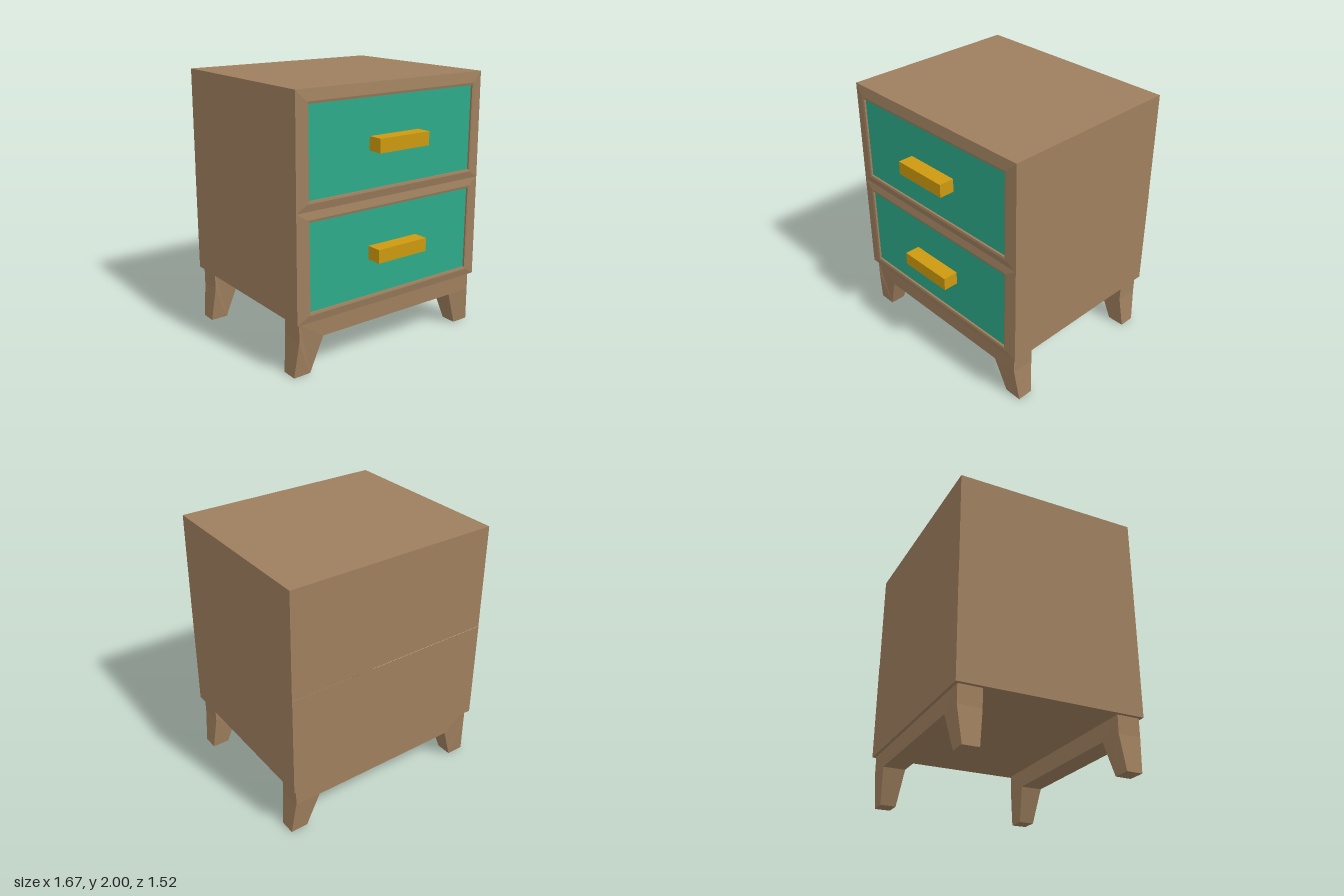
import * as THREE from 'three';

const flat = (color, name) => {
  const m = new THREE.MeshStandardMaterial({ color, flatShading: true });
  m.name = name;
  return m;
};

// Four-cornered loop: half width at bottom and top, heights, depth
const loop = (w0, w1, y0, y1, z) => [[-w0, y0, z], [w0, y0, z], [w1, y1, z], [-w1, y1, z]];

// Skin a row of loops running from back to front, leaving out one hidden side
function loft(loops, hiddenSide) {
  const pos = [];
  const quad = (a, b, c, d) => pos.push(...a, ...b, ...c, ...a, ...c, ...d);
  const [p, q, r, s] = loops[0];
  quad(q, p, s, r); // back wall
  for (let i = 0; i < loops.length - 1; i++) {
    for (let k = 0; k < 4; k++) {
      if (i === 0 && k === hiddenSide) continue;
      const n = (k + 1) % 4;
      quad(loops[i][k], loops[i][n], loops[i + 1][n], loops[i + 1][k]);
    }
  }
  const g = new THREE.BufferGeometry();
  g.setAttribute('position', new THREE.Float32BufferAttribute(pos, 3));
  g.computeVertexNormals();
  return g;
}

export function createModel() {
  const wood = flat(0x9e7f5e, 'wood');
  const teal = flat(0x2eaa8a, 'teal paint');
  const gold = flat(0xcc990f, 'gold');
  const model = new THREE.Group();
  model.name = 'nightstand';
  const add = (name, geometry, material, x = 0, y = 0, z = 0) => {
    const mesh = new THREE.Mesh(geometry, material);
    mesh.name = name;
    mesh.position.set(x, y, z);
    model.add(mesh);
  };

  // Two stacked compartments, each with a bevelled frame and recessed drawer
  const compartments = [
    { name: 'lower', w0: 0.833, w1: 0.829, y0: 0.408, y1: 1.195, f0: 0.465, f1: 1.14, back0: -0.759, hidden: 2 },
    { name: 'upper', w0: 0.829, w1: 0.823, y0: 1.195, y1: 2, f0: 1.25, f1: 1.92, back0: -0.757, hidden: 0 },
  ];
  for (const c of compartments) {
    const e = 0.017; // lip width
    add(c.name + 'Cabinet', loft([
      loop(c.w0, c.w1, c.y0, c.y1, c.back0),
      loop(c.w0, c.w1, c.y0, c.y1, 0.652),
      loop(0.745, 0.745, c.f0, c.f1, 0.664),
      loop(0.731, 0.731, c.f0 + e, c.f1 - e, 0.66),
      loop(0.731, 0.731, c.f0 + e, c.f1 - e, 0.645),
    ], c.hidden), wood);

    const mid = (c.f0 + c.f1) / 2;
    add(c.name + 'DrawerFront', new THREE.PlaneGeometry(1.462, c.f1 - c.f0 - 2 * e), teal, 0, mid, 0.645);
    add(c.name + 'Handle', new THREE.BoxGeometry(0.44, 0.1, 0.12), gold, 0, mid, 0.7);
  }

  // Front and back rails, each in one piece with its two splayed, tapering legs
  const outline = [[-0.805, 0.41], [-0.805, 0.27], [-0.835, 0], [-0.7, 0], [-0.605, 0.27],
    [0.605, 0.27], [0.7, 0], [0.835, 0], [0.805, 0.27], [0.805, 0.41]];
  const shape = new THREE.Shape(outline.map(([x, y]) => new THREE.Vector2(x, y)));
  for (const [name, z] of [['frontLegs', 0.543], ['backLegs', -0.648]]) {
    const g = new THREE.ExtrudeGeometry(shape, { depth: 0.176, bevelEnabled: false });
    g.translate(0, 0, -0.088);
    const p = g.attributes.position;
    for (let i = 0; i < p.count; i++) {
      if (p.getY(i) < 0.1) p.setZ(i, p.getZ(i) * 0.69);
    }
    g.computeVertexNormals();
    add(name, g, wood, 0, 0, z);
  }
  return model;
}
